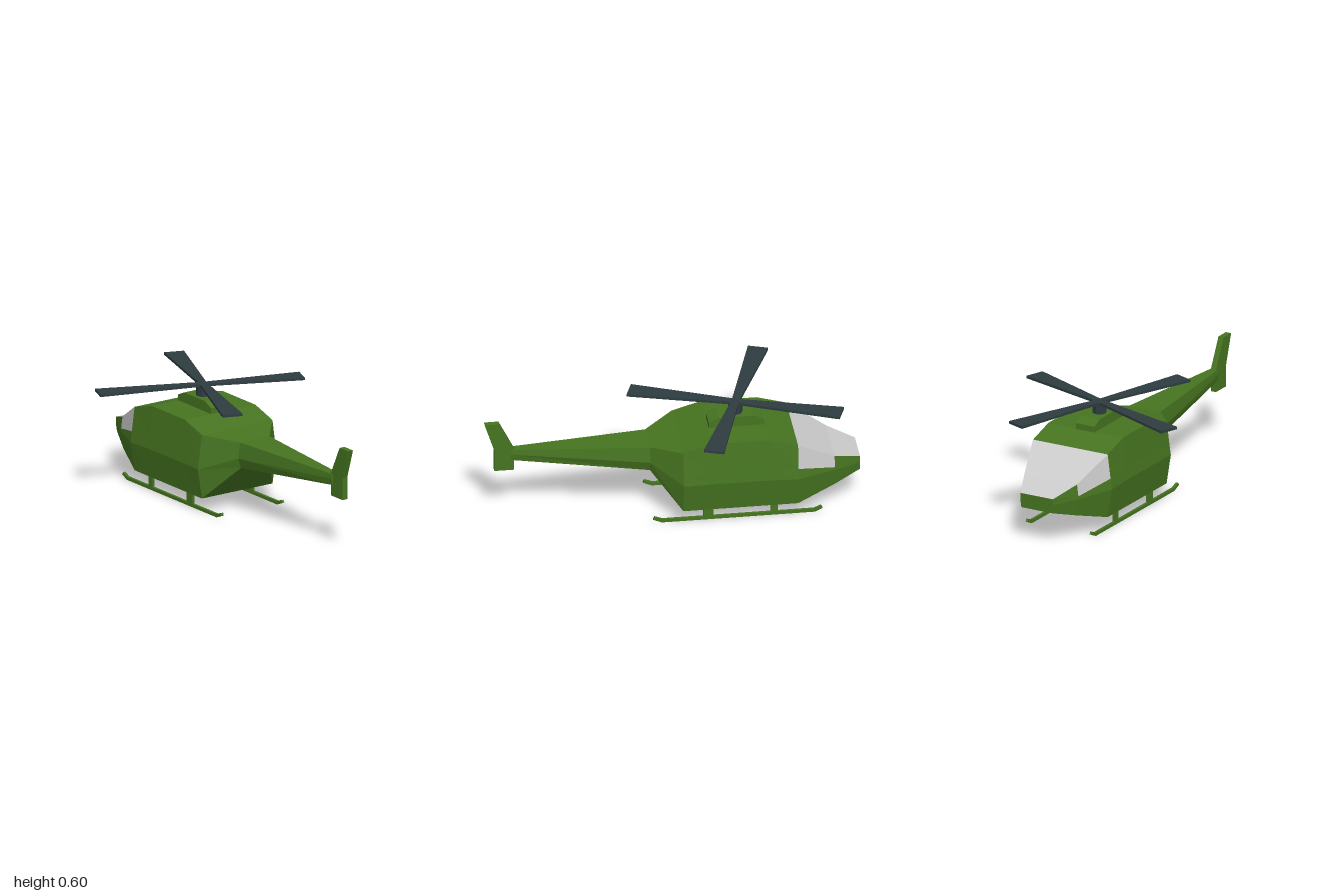
import * as THREE from 'three';

const paint = (color) => new THREE.MeshStandardMaterial({ color, flatShading: true });
const CZ = -0.016; // centre plane of the airframe

function add(parent, name, geometry, material) {
  const mesh = new THREE.Mesh(geometry, material);
  mesh.name = name;
  parent.add(mesh);
  return mesh;
}

// Flat plate: an outline in x, y with a thickness centred on z
function plate(points, z, thickness) {
  const shape = new THREE.Shape(points.map(([x, y]) => new THREE.Vector2(x, y)));
  const geometry = new THREE.ExtrudeGeometry(shape, { depth: thickness, bevelEnabled: false });
  return geometry.translate(0, 0, z - thickness / 2);
}

function facesToGeometry(faces) {
  const positions = [];
  for (const face of faces) {
    for (let i = 1; i < face.length - 1; i++) positions.push(...face[0], ...face[i], ...face[i + 1]);
  }
  const geometry = new THREE.BufferGeometry();
  geometry.setAttribute('position', new THREE.Float32BufferAttribute(positions, 3));
  geometry.computeVertexNormals();
  return geometry;
}

function buildFuselage(group, green, grey) {
  // x, then [y, half width] of the roof edge, window sill, widest line and floor edge
  const sections = [
    [-1.0, [0.265, 0.1], [0.245, 0.101], [0.23, 0.102], [0.185, 0.095]],
    [-0.855, [0.315, 0.162], [0.25, 0.171], [0.235, 0.173], [0.14, 0.158]],
    [-0.65, [0.433, 0.23], [0.3, 0.248], [0.24, 0.256], [0.08, 0.23]],
    [-0.49, [0.478, 0.23], [0.31, 0.248], [0.247, 0.256], [0.08, 0.23]],
    [-0.19, [0.478, 0.23], [0.31, 0.248], [0.247, 0.256], [0.08, 0.23]],
    [-0.035, [0.433, 0.23], [0.3, 0.248], [0.245, 0.256], [0.08, 0.23]],
    [0.125, [0.408, 0.096], [0.35, 0.104], [0.32, 0.108], [0.265, 0.09]],
    [0.86, [0.406, 0.02], [0.39, 0.022], [0.38, 0.023], [0.345, 0.018]],
  ].map(([x, ...half]) => [
    ...half.map(([y, w]) => [x, y, CZ + w]),
    ...half.slice().reverse().map(([y, w]) => [x, y, CZ - w]),
  ]);

  const hull = [sections[0].slice().reverse(), sections.at(-1)];
  const glass = [];
  for (let i = 0; i < sections.length - 1; i++) {
    for (let j = 0; j < 8; j++) {
      const k = (j + 1) % 8;
      const face = [sections[i][j], sections[i][k], sections[i + 1][k], sections[i + 1][j]];
      const windscreen = j === 7 && i < 2;
      const sideWindow = (j === 0 || j === 6) && i === 1;
      (windscreen || sideWindow ? glass : hull).push(face);
    }
  }
  add(group, 'fuselage', facesToGeometry(hull), green);
  add(group, 'windows', facesToGeometry(glass), grey);
}

function buildRotor(group, dark) {
  const rotor = new THREE.Group();
  rotor.name = 'mainRotor';
  rotor.position.set(-0.345, 0, CZ);
  group.add(rotor);
  add(rotor, 'rotorMast', new THREE.CylinderGeometry(0.038, 0.038, 0.08, 8).translate(0, 0.56, 0), dark);
  [0.578, 0.581, 0.578, 0.544].forEach((length, i) => {
    const outline = [[0, -0.02], [length, -0.055], [length, 0.055], [0, 0.02]];
    const blade = add(rotor, 'rotorBlade', plate(outline, 0, 0.014).rotateX(-Math.PI / 2), dark);
    blade.position.y = 0.595;
    blade.rotation.y = -THREE.MathUtils.degToRad(20 + 90 * i);
  });
}

function buildSkid(group, name, z, green) {
  const skid = new THREE.Group();
  skid.name = name;
  group.add(skid);
  // Rail with upturned ends
  const rail = [
    [-0.745, 0], [0.075, 0], [0.122, 0.02], [0.114, 0.034],
    [0.07, 0.018], [-0.74, 0.018], [-0.778, 0.034], [-0.786, 0.02],
  ];
  add(skid, 'skidRail', plate(rail, z, 0.015), green);
  for (const [x, width] of [[-0.528, 0.038], [-0.174, 0.053]]) {
    add(skid, 'skidStrut', new THREE.BoxGeometry(width, 0.09, 0.013).translate(x, 0.055, z), green);
  }
}

export function createModel() {
  const model = new THREE.Group();
  model.name = 'helicopter';
  const green = paint(0x467420);
  const grey = paint(0xcccccc);
  const dark = paint(0x2e3c40);

  buildFuselage(model, green, grey);

  // Engine housing on the roof
  const housing = [[-0.495, 0.46], [-0.195, 0.46], [-0.195, 0.51], [-0.25, 0.535], [-0.44, 0.535], [-0.495, 0.51]];
  add(model, 'engineHousing', plate(housing, CZ, 0.114), green);

  // Tail fin
  const fin = [[0.842, 0.283], [0.948, 0.283], [0.948, 0.406], [1, 0.567], [0.922, 0.567], [0.842, 0.406]];
  add(model, 'tailFin', plate(fin, CZ, 0.032), green);

  buildRotor(model, dark);
  buildSkid(model, 'leftSkid', 0.19, green);
  buildSkid(model, 'rightSkid', -0.204, green);
  return model;
}
